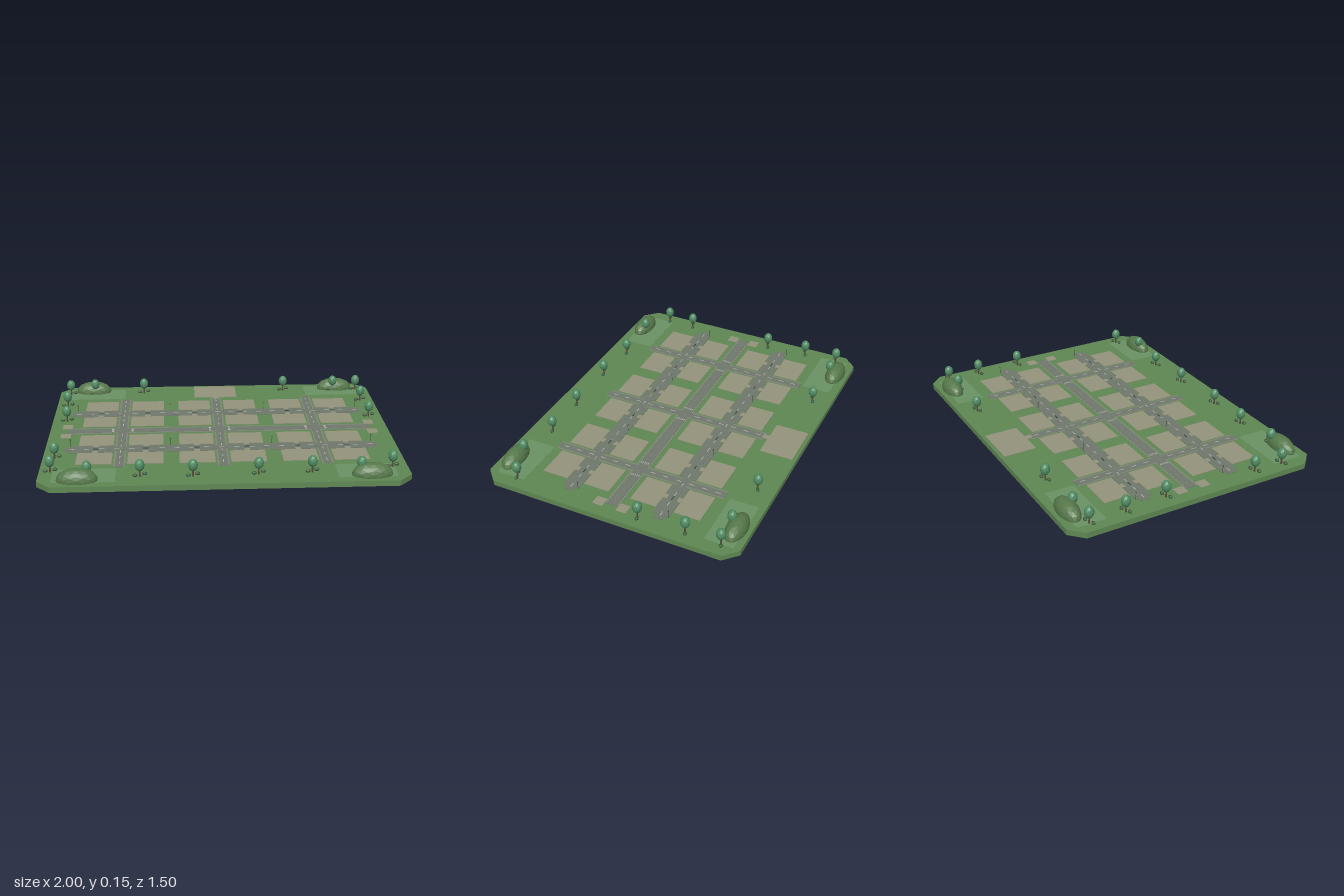
import * as THREE from 'three';

const GROUND = 0.055;
const mats = {};
const mat = (color) => (mats[color] ??= new THREE.MeshStandardMaterial({ color, flatShading: true }));
const GRASS = 0x5f8753, LAWN = 0x6b9163, PLOT = 0x94937c, ROAD = 0x6f776c, KERB = 0x7f8676,
  LINE = 0xb9bcae, DARK = 0x3d463a, LEAF = 0x4f8a62, BUSH = 0x3a5a3c, HILL = 0x56784a, BARK = 0x5a4a38;

export function createModel() {
  const model = new THREE.Group();
  const add = (parent, name, geometry, color, x, y, z) => {
    const mesh = new THREE.Mesh(geometry, mat(color));
    mesh.name = name;
    mesh.position.set(x, y, z);
    parent.add(mesh);
    return mesh;
  };
  const group = (name) => {
    const g = new THREE.Group();
    g.name = name;
    model.add(g);
    return g;
  };
  // thin slab lying on the grass, its top h above it
  const slab = (parent, name, x, z, w, d, h, color) =>
    add(parent, name, new THREE.BoxGeometry(w, h + 0.002, d), color, x, GROUND + h / 2 - 0.001, z);

  // base plate with cut corners
  const c = 0.075, X = 1, Z = 0.75;
  const outline = new THREE.Shape([
    [-X + c, -Z], [X - c, -Z], [X, -Z + c], [X, Z - c],
    [X - c, Z], [-X + c, Z], [-X, Z - c], [-X, -Z + c],
  ].map(([x, y]) => new THREE.Vector2(x, y)));
  const plate = new THREE.ExtrudeGeometry(outline, { depth: 0.032, bevelEnabled: false });
  plate.rotateX(-Math.PI / 2);
  add(model, 'ground', plate, GRASS, 0, GROUND - 0.032, 0);

  // corner lawns
  const lawns = group('lawns');
  [[-0.76, -0.615, 0.36, 0.17], [0.755, -0.63, 0.34, 0.165],
    [-0.755, 0.615, 0.34, 0.17], [0.765, 0.615, 0.32, 0.17]]
    .forEach(([x, z, w, d]) => slab(lawns, 'lawn', x, z, w, d, 0.001, LAWN));

  // building plots with short driveways
  const plots = group('plots');
  const streets = [-0.27, 0.27];
  for (const x of [-0.714, -0.43, -0.142, 0.142, 0.43, 0.714]) {
    for (const s of streets) {
      for (const side of [-1, 1]) {
        slab(plots, 'plot', x, s + side * 0.128, 0.198, 0.152, 0.003, PLOT);
        slab(plots, 'driveway', x, s + side * 0.042, 0.032, 0.026, 0.0045, PLOT);
      }
      slab(plots, 'speedBump', x, s, 0.032, 0.005, 0.0055, DARK);
    }
  }
  slab(plots, 'largePlot', 0, -0.631, 0.268, 0.194, 0.003, PLOT);
  slab(plots, 'largePlotDriveway', 0, -0.517, 0.034, 0.036, 0.0045, PLOT);
  for (const x of [-0.9, 0.9])
    for (const z of [-0.07, 0.07]) slab(plots, 'smallPlot', x, z, 0.06, 0.06, 0.003, PLOT);

  // roads, kerbs and centre dashes
  const roads = group('roads');
  const avenues = [-0.572, 0, 0.572];
  slab(roads, 'mainRoad', 0, 0, 1.8, 0.056, 0.003, ROAD);
  for (const z of [-0.034, 0.034]) slab(roads, 'mainKerb', 0, z, 1.8, 0.01, 0.0025, KERB);
  for (const x of avenues) {
    slab(roads, 'avenue', x, 0, 0.046, 1.03, 0.0035, ROAD);
    for (const s of [-1, 1]) slab(roads, 'avenueKerb', x + s * 0.028, 0, 0.01, 1.03, 0.0022, KERB);
    for (let z = -0.47; z < 0.5; z += 0.078)
      if (Math.abs(z) > 0.05) slab(roads, 'dash', x, z, 0.004, 0.03, 0.0045, LINE);
    // crossings either side of the main junction
    for (const s of [-1, 1])
      for (let i = -2; i <= 2; i++)
        slab(roads, 'crossingStripe', x + s * 0.057, i * 0.011, 0.014, 0.004, 0.0045, LINE);
  }
  for (const z of streets) {
    slab(roads, 'street', 0, z, 1.78, 0.05, 0.003, ROAD);
    for (const [x, w] of [[-0.735, 0.25], [-0.286, 0.49], [0.286, 0.49], [0.735, 0.25]])
      slab(roads, 'pavement', x, z, w, 0.094, 0.0025, ROAD);
    for (let x = -0.85; x < 0.87; x += 0.085) slab(roads, 'dash', x, z, 0.03, 0.004, 0.0045, LINE);
  }
  for (let x = -0.85; x < 0.87; x += 0.085) slab(roads, 'dash', x, 0, 0.03, 0.003, 0.0042, KERB);

  // street lamps
  const lamps = group('streetLamps');
  for (const x of [-0.86, -0.29, 0.29, 0.86])
    for (const z of [-0.315, 0.227]) {
      add(lamps, 'lampPost', new THREE.CylinderGeometry(0.0012, 0.0015, 0.044, 6), DARK, x, GROUND + 0.022, z);
      add(lamps, 'lampHead', new THREE.BoxGeometry(0.01, 0.002, 0.004), DARK, x, GROUND + 0.044, z);
    }

  // faceted hills that pass through the plate
  const hillShape = new THREE.IcosahedronGeometry(1, 2).scale(0.112, 0.0625, 0.056);
  for (const x of [-0.786, 0.786])
    for (const z of [-0.672, 0.672]) add(model, 'hill', hillShape, HILL, x, 0.0625, z);

  // trees, each with two bushes at its foot
  const trunk = new THREE.CylinderGeometry(0.004, 0.006, 0.045, 6);
  const crown = new THREE.IcosahedronGeometry(1, 1).scale(0.027, 0.035, 0.027);
  const bush = new THREE.IcosahedronGeometry(1, 1).scale(0.014, 0.009, 0.01);
  [[-0.93, -0.625], [-0.775, -0.636], [-0.46, -0.636], [0.445, -0.647], [0.77, -0.636], [0.92, -0.64],
    [-0.932, -0.417], [0.918, -0.44], [-0.914, -0.166], [0.922, -0.166], [-0.932, 0.385],
    [-0.938, 0.56], [-0.735, 0.642], [-0.455, 0.636], [-0.172, 0.647], [0.18, 0.636],
    [0.47, 0.626], [0.73, 0.652], [0.914, 0.578]].forEach(([x, z]) => {
    const tree = group('tree');
    tree.position.set(x, GROUND, z);
    add(tree, 'trunk', trunk, BARK, 0, 0.0225, 0);
    add(tree, 'crown', crown, LEAF, 0, 0.066, 0);
    for (const s of [-1, 1]) add(tree, 'bush', bush, BUSH, s * 0.025, 0.012, -s * 0.01);
  });
  return model;
}
